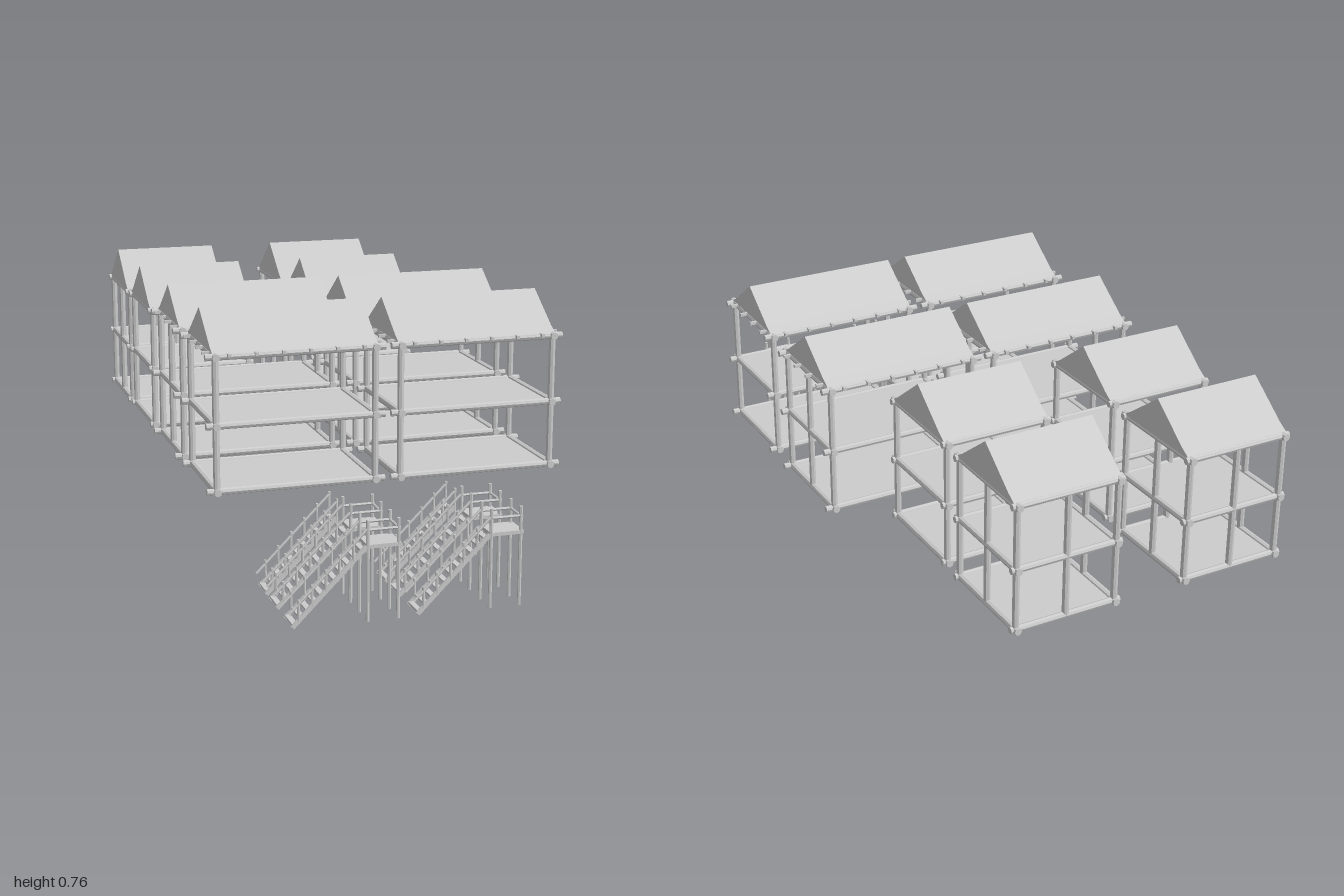
import * as THREE from 'three';

const grey = new THREE.MeshStandardMaterial({ color: 0xcccccc, flatShading: true });
const thin = new THREE.MeshStandardMaterial({ color: 0xcccccc, flatShading: true, side: THREE.DoubleSide });

function add(group, name, geometry, x = 0, y = 0, z = 0, material = grey) {
  const mesh = new THREE.Mesh(geometry, material);
  mesh.name = name;
  mesh.position.set(x, y, z);
  group.add(mesh);
  return mesh;
}

const box = (group, name, w, h, d, x, y, z) => add(group, name, new THREE.BoxGeometry(w, h, d), x, y, z);

// Round log between two points
function log(group, name, a, b, r = 0.01, sides = 8) {
  const p = new THREE.Vector3(...a), q = new THREE.Vector3(...b);
  const dir = q.clone().sub(p);
  const mesh = add(group, name, new THREE.CylinderGeometry(r, r, dir.length(), sides));
  mesh.position.copy(p).add(q).multiplyScalar(0.5);
  mesh.quaternion.setFromUnitVectors(new THREE.Vector3(0, 1, 0), dir.normalize());
  return mesh;
}

// Gabled roof shell with flared eaves, open underneath
function roof(group, halfX, eave, ridge) {
  const h = ridge - eave;
  const profile = [[-0.165, 0], [-0.125, h * 0.2], [0, h], [0.125, h * 0.2], [0.165, 0]];
  const pos = [], index = [];
  for (const x of [-halfX, halfX]) for (const [z, y] of profile) pos.push(x, eave + y, z);
  for (let i = 0; i < 4; i++) index.push(i, i + 5, i + 6, i, i + 6, i + 1);
  const g = new THREE.BufferGeometry();
  g.setAttribute('position', new THREE.Float32BufferAttribute(pos, 3));
  g.setIndex(index.map((v, i) => index[i - (i % 3) + [0, 2, 1][i % 3]]));
  g.computeVertexNormals();
  add(group, 'roofSlopes', g, 0, 0, 0, thin);

  const gable = new THREE.Shape(profile.map(([z, y]) => new THREE.Vector2(z, y)));
  for (const s of [-1, 1]) {
    const mesh = add(group, 'gable', new THREE.ShapeGeometry(gable), s * halfX * 0.995, eave, 0, thin);
    mesh.rotation.y = s * Math.PI / 2;
  }
}

// Two-storey open log frame with floors and a roof
function house({ x, z, postX, beamX, roofX, levels, ridge, sideMid, frontMid, joists }) {
  const group = new THREE.Group();
  group.name = 'house';
  group.position.set(x, 0, z);
  const postZ = 0.155, beamZ = 0.172;
  const [low, , top] = levels;

  const spots = [];
  for (const s of [-1, 1]) {
    for (const t of [-1, 1]) spots.push([s * postX, t * postZ]);
    if (sideMid) spots.push([s * postX, 0]);
    if (frontMid) spots.push([0, s * postZ]);
  }
  for (const [px, pz] of spots) log(group, 'post', [px, low, pz], [px, top, pz]);

  levels.forEach((y, i) => {
    for (const s of [-1, 1]) {
      log(group, 'longBeam', [-beamX, y, s * postZ], [beamX, y, s * postZ]);
      log(group, 'crossBeam', [s * postX, y, -beamZ], [s * postX, y, beamZ], 0.011);
    }
    if (i < 2) box(group, 'floor', postX * 2, 0.008, postZ * 2, 0, y, 0);
  });

  // Ceiling joists poking out past the beams
  if (joists) {
    const y = top + 0.005, step = 0.078;
    for (let i = 0; i < 6; i++) box(group, 'joist', 0.009, 0.009, 0.35, (i - 2.5) * step, y, 0);
    for (let i = 0; i < 4; i++) box(group, 'crossJoist', beamX * 2, 0.009, 0.009, 0, y, (i - 1.5) * step);
  }
  roof(group, roofX, top + 0.003, ridge);
  return group;
}

// Stair flight rising toward +x, with an optional raised landing
function stair(x, z, landing) {
  const group = new THREE.Group();
  group.name = 'stair';
  group.position.set(x, 0, z);
  const run = 0.21, half = 0.036, steps = 11;

  for (let i = 0; i < steps; i++) {
    const t = (i + 0.5) / steps;
    box(group, 'tread', 0.016, 0.005, half * 2, t * run, 0.004 + t * 0.2, 0);
  }
  for (const s of [-1, 1]) {
    const zz = s * half;
    const stringer = box(group, 'stringer', 0.288, 0.012, 0.006, run / 2, 0.107, zz);
    stringer.rotation.z = Math.PI / 4;
    log(group, 'handrail', [-0.006, 0.042, zz], [run, 0.258, zz], 0.004, 6);
    for (let i = 0; i < 5; i++) {
      const bx = 0.02 + i * 0.0375;
      log(group, 'baluster', [bx, bx, zz], [bx, bx + 0.06, zz], 0.004, 6);
    }
    if (landing) {
      log(group, 'landingPost', [run, 0, zz], [run, 0.28, zz], 0.005, 6);
      log(group, 'landingPost', [run + 0.085, 0, zz], [run + 0.085, 0.28, zz], 0.005, 6);
      log(group, 'landingRail', [run, 0.253, zz], [run + 0.09, 0.253, zz], 0.004, 6);
    } else {
      log(group, 'topPost', [run - 0.004, 0.19, zz], [run - 0.004, 0.262, zz], 0.004, 6);
    }
  }
  if (landing) {
    box(group, 'landing', 0.095, 0.01, 0.08, run + 0.045, 0.208, 0);
    log(group, 'endRail', [run + 0.085, 0.253, -0.044], [run + 0.085, 0.253, 0.044], 0.004, 6);
  }
  return group;
}

export function createModel() {
  const model = new THREE.Group();
  model.name = 'logHouseSet';

  const large = { postX: 0.232, beamX: 0.261, roofX: 0.24, joists: true };
  const small = { postX: 0.155, beamX: 0.172, roofX: 0.165, joists: false };
  const rows = [
    { ...large, xs: [-0.271, 0.269], z: 0.405, levels: [0.26, 0.449, 0.645], ridge: 0.757 },
    { ...large, xs: [-0.271, 0.269], z: -0.016, levels: [0.252, 0.441, 0.637], ridge: 0.749, sideMid: true },
    { ...small, xs: [-0.35, 0.191], z: -0.441, levels: [0.245, 0.429, 0.618], ridge: 0.738 },
    { ...small, xs: [-0.35, 0.191], z: -0.826, levels: [0.238, 0.422, 0.612], ridge: 0.733, sideMid: true, frontMid: true },
  ];
  for (const row of rows) for (const x of row.xs) model.add(house({ ...row, x }));

  // Three pairs of stairs in front, the rear pair without landings
  for (const x of [-0.41, -0.063]) {
    model.add(stair(x, 0.689, false));
    model.add(stair(x, 0.803, true));
    model.add(stair(x, 0.953, true));
  }
  return model;
}
